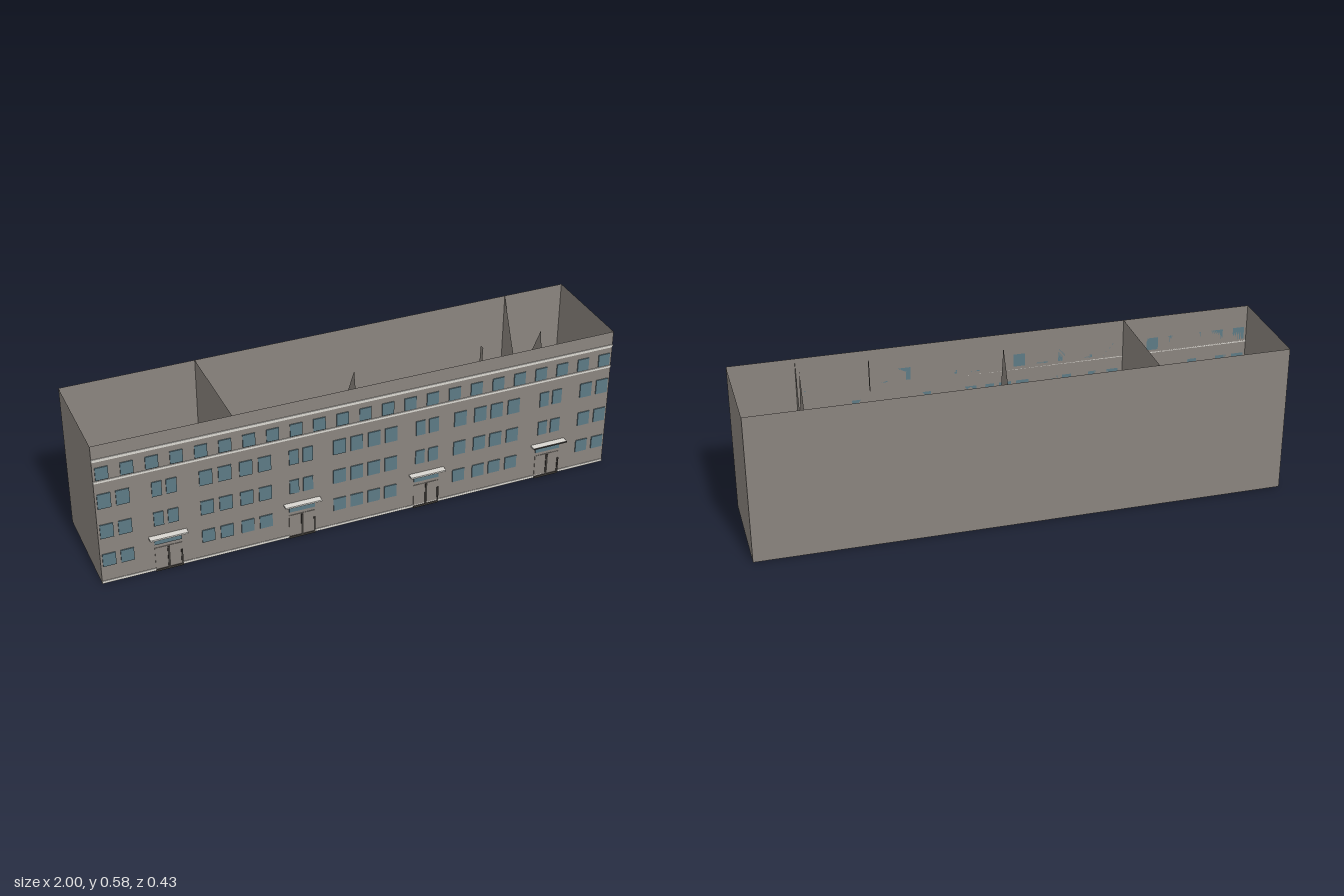
import * as THREE from 'three';

const W = 2, H = 0.578, BACK = -0.213, FRONT = 0.189;
const D = FRONT - BACK, MID = (FRONT + BACK) / 2;

export function createModel() {
  const model = new THREE.Group();
  model.name = 'terraceBuilding';

  const mat = (name, color, side = THREE.FrontSide) => {
    const m = new THREE.MeshStandardMaterial({ color, side });
    m.name = name;
    return m;
  };
  const wall = mat('wallGrey', 0x8a847e, THREE.DoubleSide);
  const glass = mat('windowBlue', 0x5d7a85);
  const trim = mat('trimWhite', 0xd9d6d0);
  const dark = mat('doorDark', 0x3b3835);

  const add = (name, geometry, material, parent = model) => {
    const mesh = new THREE.Mesh(geometry, material);
    mesh.name = name;
    parent.add(mesh);
    return mesh;
  };
  const group = (name) => {
    const g = new THREE.Group();
    g.name = name;
    model.add(g);
    return g;
  };
  // Thin plate standing on the facade, given by its edges
  const plate = (name, x0, x1, y0, y1, depth, material, parent) =>
    add(name, new THREE.BoxGeometry(x1 - x0, y1 - y0, depth), material, parent)
      .position.set((x0 + x1) / 2, (y0 + y1) / 2, FRONT + depth / 2);

  // Open-topped shell: floor and four single-skin walls
  const shell = group('shell');
  add('floor', new THREE.PlaneGeometry(W, D).rotateX(-Math.PI / 2), wall, shell).position.set(0, 0, MID);
  add('frontWall', new THREE.PlaneGeometry(W, H), wall, shell).position.set(0, H / 2, FRONT);
  add('backWall', new THREE.PlaneGeometry(W, H).rotateY(Math.PI), wall, shell).position.set(0, H / 2, BACK);
  for (const s of [-1, 1]) {
    add(s > 0 ? 'leftWall' : 'rightWall', new THREE.PlaneGeometry(D, H).rotateY(s * Math.PI / 2), wall, shell)
      .position.set(s, H / 2, MID);
  }

  // Inner partitions: one complete, the others only pointed or narrow pieces; outlines are [z, y]
  const partitions = group('partitions');
  const partition = (x, points) => {
    const shape = new THREE.Shape(points.map(([z, y]) => new THREE.Vector2(-z, y)));
    add('partition', new THREE.ShapeGeometry(shape).rotateY(Math.PI / 2), wall, partitions).position.x = x;
  };
  const spike = [[BACK, 0], [FRONT, 0], [0.08, H]];
  partition(-0.497, [[BACK, 0], [FRONT, 0], [FRONT, H], [BACK, H]]);
  partition(0.003, spike);
  partition(0.5, [[0.085, 0.46], [0.105, 0.46], [0.112, H], [0.092, H]]);
  partition(0.754, spike);
  partition(0.754, [[BACK, 0], [0.05, 0], [BACK, H]]);
  partition(0.754, [[0.02, 0], [FRONT, 0], [FRONT, H]]);

  // Attic windows
  const windows = group('windows');
  for (let i = 0; i < 23; i++) {
    const x = -0.968 + i * 0.088;
    plate('atticWindow', x - 0.023, x + 0.023, 0.439, 0.489, 0.004, glass, windows);
  }

  // Wide windows on three floors
  const floors = [[0.075, 0.127], [0.195, 0.252], [0.32, 0.38]];
  const columns = [
    -0.968, -0.902, -0.603, -0.533, -0.455, -0.385, -0.1, -0.033, 0.035, 0.102,
    0.379, 0.46, 0.527, 0.597, 0.9, 0.968,
  ];
  for (const [y0, y1] of floors) {
    for (const x of columns) plate('window', x - 0.024, x + 0.024, y0, y1, 0.004, glass, windows);
  }

  // Entrance bays: stair windows, fanlight, door posts and canopy
  const entrances = group('entrances');
  [-0.753, -0.247, 0.247, 0.753].forEach((x, i) => {
    for (const [y0, y1] of floors.slice(1)) {
      plate('stairWindow', x - 0.046, x - 0.01, y0, y1, 0.004, glass, windows);
      plate('stairWindow', x + 0.006, x + 0.044, y0, y1, 0.004, glass, windows);
    }
    plate('fanlight', x - 0.05, x + 0.05, 0.115, 0.14, 0.004, glass, windows);
    plate('door', x - 0.05, x + 0.05, 0.004, 0.1, 0.002, wall, entrances);
    plate('doorGap', x - 0.004, x + 0.004, 0, 0.097, 0.005, dark, entrances);
    plate('doorPost', x + 0.045, x + 0.051, 0, 0.07, 0.005, dark, entrances);
    plate('doorSill', x - 0.05, x + 0.05, 0, 0.008, 0.005, dark, entrances);
    plate('canopy', x - 0.07, x + 0.07, 0.147, 0.153, 0.025, trim, entrances);
    if (i === 3) {
      // Dark fascia on the last canopy
      add('canopyFascia', new THREE.BoxGeometry(0.14, 0.006, 0.001), dark, entrances)
        .position.set(x, 0.15, FRONT + 0.0255);
    }
  });

  // Pale string courses and plinth line
  const bands = group('bands');
  plate('upperBand', -1, 1, 0.513, 0.524, 0.003, trim, bands);
  plate('lowerBand', -1, 1, 0.426, 0.435, 0.003, trim, bands);
  plate('plinthBand', -1, 1, 0.002, 0.012, 0.002, trim, bands);

  return model;
}
